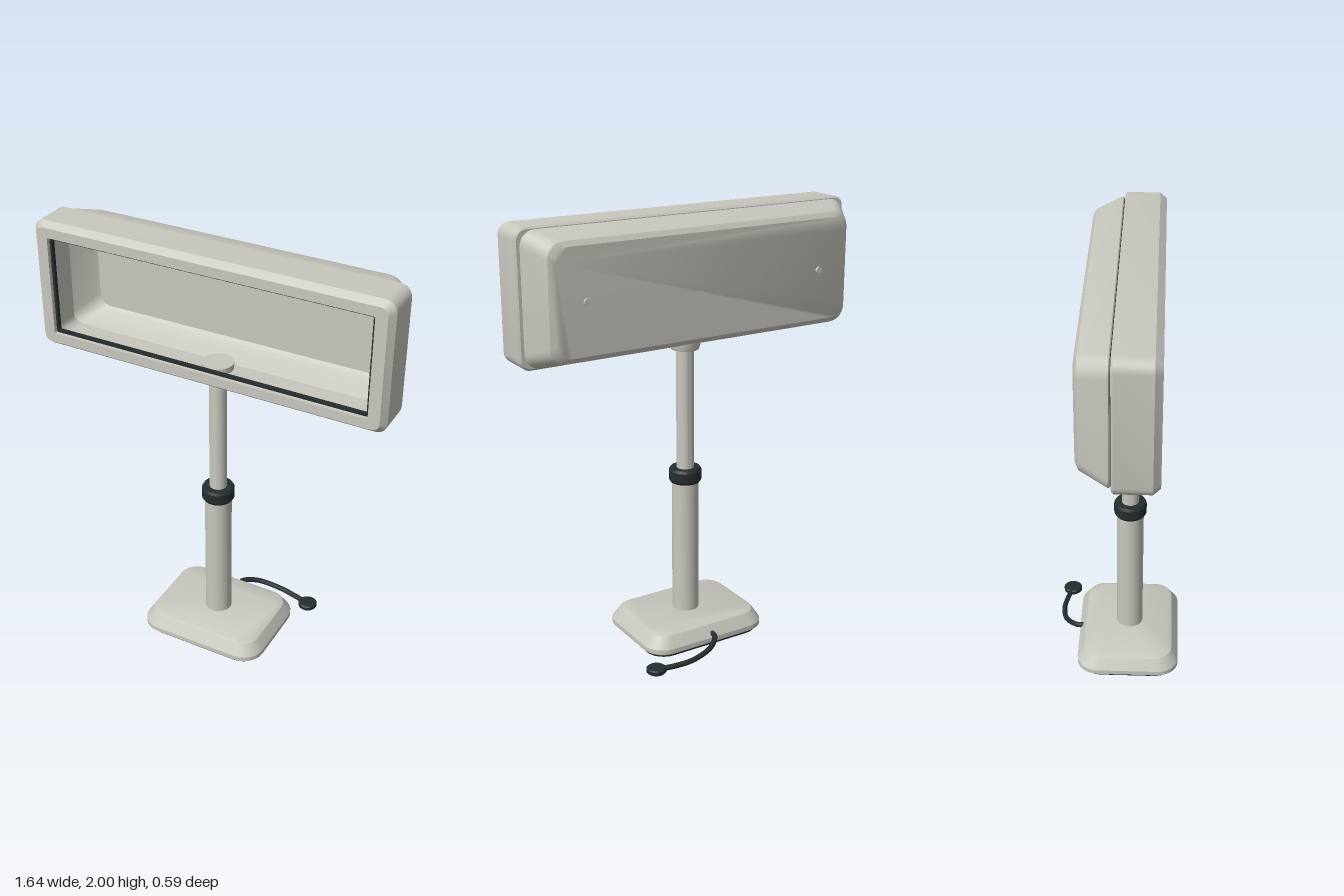
import * as THREE from 'three';
import { toCreasedNormals } from 'three/addons/utils/BufferGeometryUtils.js';

// Outline of a rounded rectangle, counter-clockwise, with half sizes hx, hy and corner radius r
function outline(hx, hy, r, z, steps = 6) {
  const points = [];
  [[1, 1], [-1, 1], [-1, -1], [1, -1]].forEach(([sx, sy], corner) => {
    for (let i = 0; i <= steps; i++) {
      const a = (corner + i / steps) * Math.PI / 2;
      points.push([sx * (hx - r) + r * Math.cos(a), sy * (hy - r) + r * Math.sin(a), z]);
    }
  });
  return points;
}

// Skin over a list of [hx, hy, r, z] sections, optionally capped at both ends
function loft(sections, capped) {
  const rings = sections.map((s) => outline(...s));
  const n = rings[0].length;
  const positions = [];
  const tri = (a, b, c) => positions.push(...a, ...b, ...c);
  for (let k = 0; k < rings.length - 1; k++) {
    for (let i = 0; i < n; i++) {
      const j = (i + 1) % n;
      tri(rings[k][i], rings[k][j], rings[k + 1][j]);
      tri(rings[k][i], rings[k + 1][j], rings[k + 1][i]);
    }
  }
  if (capped) {
    const first = rings[0], last = rings[rings.length - 1];
    for (let i = 1; i < n - 1; i++) {
      tri(first[0], first[i + 1], first[i]);
      tri(last[0], last[i], last[i + 1]);
    }
  }
  const geometry = new THREE.BufferGeometry();
  geometry.setAttribute('position', new THREE.Float32BufferAttribute(positions, 3));
  return toCreasedNormals(geometry, 0.5);
}

// Turned part from [radius, y] points, bottom to top
function turned(points) {
  const profile = points.map(([r, y]) => new THREE.Vector2(r, y));
  return toCreasedNormals(new THREE.LatheGeometry(profile, 32), 0.5);
}

export function createModel() {
  const model = new THREE.Group();
  model.name = 'poleDisplay';
  const shellGrey = new THREE.MeshStandardMaterial({ color: 0xc8c7be });
  shellGrey.name = 'warm grey plastic';
  const black = new THREE.MeshStandardMaterial({ color: 0x252d2e });
  black.name = 'black rubber';

  function add(parent, name, geometry, material, x = 0, y = 0, z = 0) {
    const mesh = new THREE.Mesh(geometry, material);
    mesh.name = name;
    mesh.position.set(x, y, z);
    parent.add(mesh);
    return mesh;
  }

  // Display head, hollow and open at the front
  const head = new THREE.Group();
  head.name = 'displayHead';
  head.position.y = 1.705;
  model.add(head);

  add(head, 'frontBezel', loft([
    [0.77, 0.265, 0.04, 0],
    [0.812, 0.287, 0.045, 0],
    [0.82, 0.295, 0.05, 0.008],
    [0.82, 0.295, 0.05, 0.16],
    [0.797, 0.272, 0.035, 0.19],
    [0.745, 0.228, 0.008, 0.19],
    [0.745, 0.228, 0.008, 0.145],
    [0.77, 0.265, 0.04, 0.145],
    [0.77, 0.265, 0.04, 0],
  ], false), shellGrey);

  // Tapered back, outside first and then the inside
  add(head, 'backShell', loft([
    [0.715, 0.228, 0.06, -0.142],
    [0.742, 0.25, 0.07, -0.128],
    [0.802, 0.285, 0.065, -0.015],
    [0.802, 0.285, 0.065, -0.008],
    [0.79, 0.275, 0.06, 0.001],
    [0.77, 0.265, 0.05, 0.001],
    [0.715, 0.225, 0.06, -0.105],
    [0.70, 0.21, 0.05, -0.118],
  ], true), shellGrey);

  // Dark line in the joint between bezel and back
  add(head, 'seam', loft([
    [0.795, 0.28, 0.06, -0.008],
    [0.795, 0.28, 0.06, 0.002],
  ], false), black);

  // Window gasket
  add(head, 'gasket', loft([
    [0.733, 0.216, 0.005, 0.155],
    [0.745, 0.228, 0.008, 0.155],
    [0.745, 0.228, 0.008, 0.172],
    [0.733, 0.216, 0.005, 0.172],
    [0.733, 0.216, 0.005, 0.155],
  ], false), black);

  // Back screws
  for (const side of [-1, 1]) {
    const screw = add(head, 'screw', new THREE.CylinderGeometry(0.015, 0.015, 0.012, 16),
      shellGrey, side * 0.58, 0, -0.146);
    screw.rotation.x = Math.PI / 2;
  }

  // Telescopic pole
  const pole = new THREE.Group();
  pole.name = 'pole';
  pole.position.z = 0.053;
  model.add(pole);
  add(pole, 'lowerTube', turned([[0, 0.1], [0.062, 0.1], [0.062, 0.77], [0, 0.77]]), shellGrey);
  add(pole, 'upperTube', turned([[0, 0.76], [0.04, 0.76], [0.04, 1.42], [0, 1.42]]), shellGrey);
  add(pole, 'clampRing', turned([
    [0.055, 0.752], [0.068, 0.752], [0.075, 0.763], [0.075, 0.808], [0.068, 0.82], [0.038, 0.82],
  ]), black);
  add(pole, 'headCollar', turned([
    [0.03, 1.382], [0.062, 1.382], [0.07, 1.405], [0.07, 1.468], [0, 1.468],
  ]), shellGrey);

  // Foot, lofted upwards
  const foot = new THREE.Group();
  foot.name = 'foot';
  foot.position.z = 0.05;
  foot.rotation.x = -Math.PI / 2;
  model.add(foot);
  add(foot, 'base', loft([
    [0.295, 0.225, 0.09, 0.016],
    [0.31, 0.24, 0.1, 0.028],
    [0.31, 0.24, 0.1, 0.05],
    [0.278, 0.208, 0.085, 0.103],
    [0.258, 0.19, 0.075, 0.112],
  ], true), shellGrey);
  add(foot, 'basePad', loft([
    [0.282, 0.212, 0.085, 0],
    [0.29, 0.22, 0.09, 0.005],
    [0.29, 0.22, 0.09, 0.018],
  ], true), black);

  // Cable and plug
  const cablePath = new THREE.CatmullRomCurve3([
    [-0.005, 0.065, -0.165], [0, 0.062, -0.205], [0.06, 0.045, -0.26],
    [0.17, 0.024, -0.281], [0.27, 0.016, -0.268], [0.34, 0.015, -0.25],
  ].map((p) => new THREE.Vector3(...p)));
  add(model, 'cable', new THREE.TubeGeometry(cablePath, 40, 0.0125, 10, false), black);
  add(model, 'plug', turned([
    [0, 0.002], [0.04, 0.002], [0.045, 0.007], [0.045, 0.022], [0.038, 0.027], [0, 0.027],
  ]), black, 0.34, 0, -0.25);

  return model;
}
